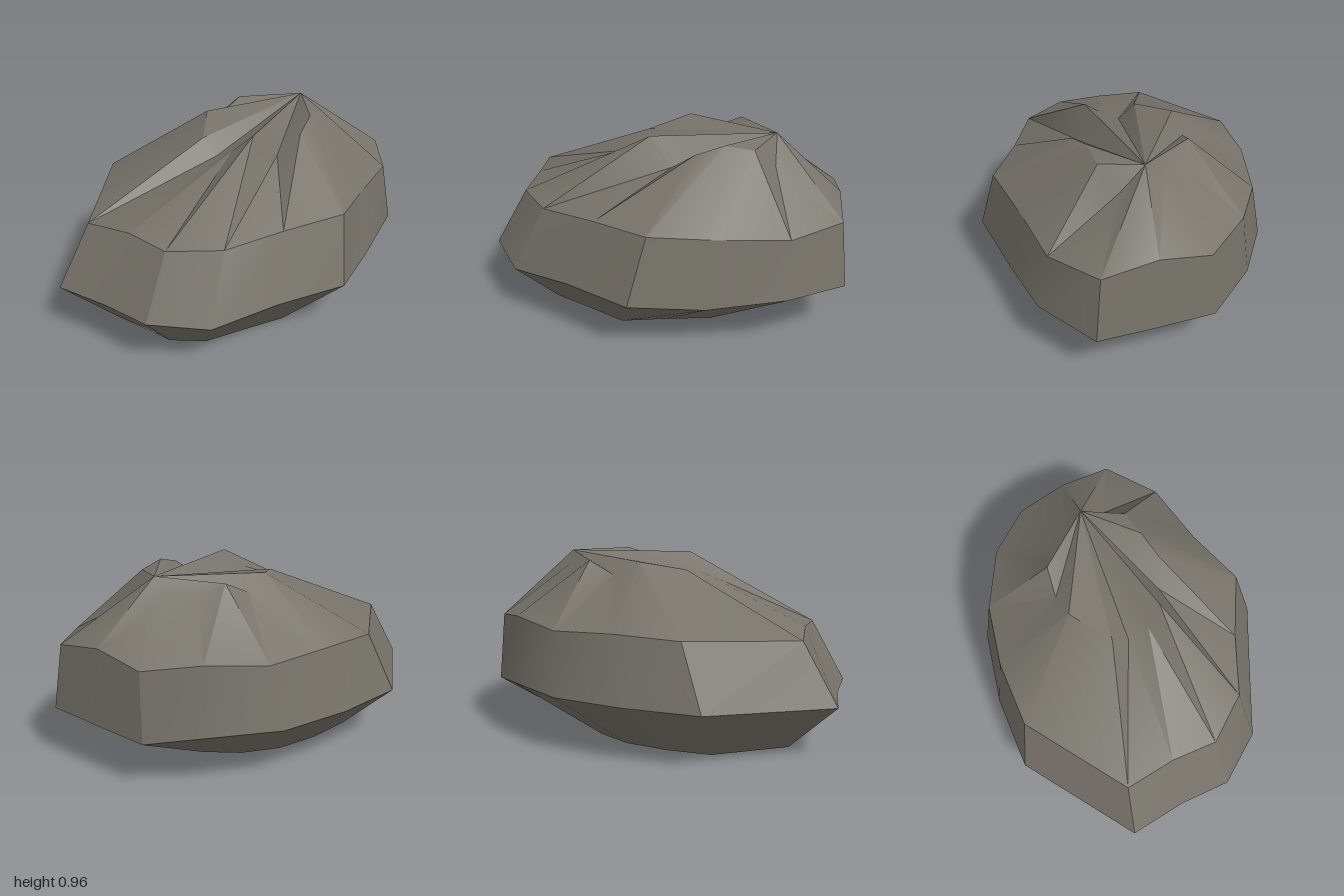
import * as THREE from 'three';
import { toCreasedNormals } from 'three/addons/utils/BufferGeometryUtils.js';

// Cross-sections of the boulder, each running around it from the back right corner.
const belly = [
  [-1, 0.27, -0.33], [-0.44, 0.29, -0.76], [-0.04, 0.295, -0.775], [0.35, 0.295, -0.72], [0.67, 0.305, -0.555],
  [0.9, 0.26, -0.32], [0.955, 0.27, 0], [1, 0.28, 0.29], [0.73, 0.3, 0.535], [0.34, 0.255, 0.645],
  [-0.03, 0.29, 0.765], [-0.39, 0.29, 0.62], [-0.73, 0.26, 0.49], [-0.93, 0.28, 0.245], [-0.945, 0.27, -0.03],
];
const shoulder = [
  [-0.81, 0.585, -0.295], [-0.31, 0.62, -0.68], [0.04, 0.635, -0.695], [0.38, 0.62, -0.65], [0.67, 0.655, -0.505],
  [0.88, 0.62, -0.29], [0.925, 0.67, -0.02], [0.96, 0.625, 0.26], [0.725, 0.605, 0.475], [0.38, 0.61, 0.565],
  [0.05, 0.645, 0.68], [-0.26, 0.625, 0.54], [-0.57, 0.61, 0.43], [-0.755, 0.6, 0.215], [-0.765, 0.61, -0.03],
];
const crown = [
  [-0.14, 0.89, -0.12], [0.06, 0.94, -0.28], [0.2, 0.87, -0.305], [0.345, 0.94, -0.295], [0.46, 0.88, -0.22],
  [0.54, 0.9, -0.13], [0.575, 0.965, -0.025], [0.59, 0.83, 0.1], [0.49, 0.94, 0.19], [0.34, 0.965, 0.225],
  [0.2, 0.92, 0.27], [0.07, 0.82, 0.22], [-0.06, 0.96, 0.165], [-0.13, 0.87, 0.08], [-0.13, 0.81, -0.03],
];
// The flat foot is the belly shrunk and shifted to one side.
const foot = belly.map(([x, , z]) => [x * 0.6 - 0.13, 0, z * 0.6]);

export function createModel() {
  const rings = [foot, belly, shoulder, crown];
  const n = belly.length;
  const index = [];

  // Side bands
  for (let r = 0; r < rings.length - 1; r++) {
    for (let i = 0; i < n; i++) {
      const j = (i + 1) % n;
      const a = r * n, b = a + n;
      index.push(a + j, a + i, b + i, a + j, b + i, b + j);
    }
  }

  // Underside, and the uneven top fanned out from its peak
  const top = 3 * n, peak = 6;
  for (let k = 1; k < n - 1; k++) {
    index.push(0, k, k + 1);
    index.push(top + peak, top + (peak + k + 1) % n, top + (peak + k) % n);
  }

  const geometry = new THREE.BufferGeometry();
  geometry.setAttribute('position', new THREE.Float32BufferAttribute(rings.flat(2), 3));
  geometry.setIndex(index);

  const stone = new THREE.MeshStandardMaterial({ color: 0x77736a });
  stone.name = 'stone grey';
  const boulder = new THREE.Mesh(toCreasedNormals(geometry, 0.52), stone);
  boulder.name = 'boulder';

  const group = new THREE.Group();
  group.name = 'rock';
  group.add(boulder);
  return group;
}
